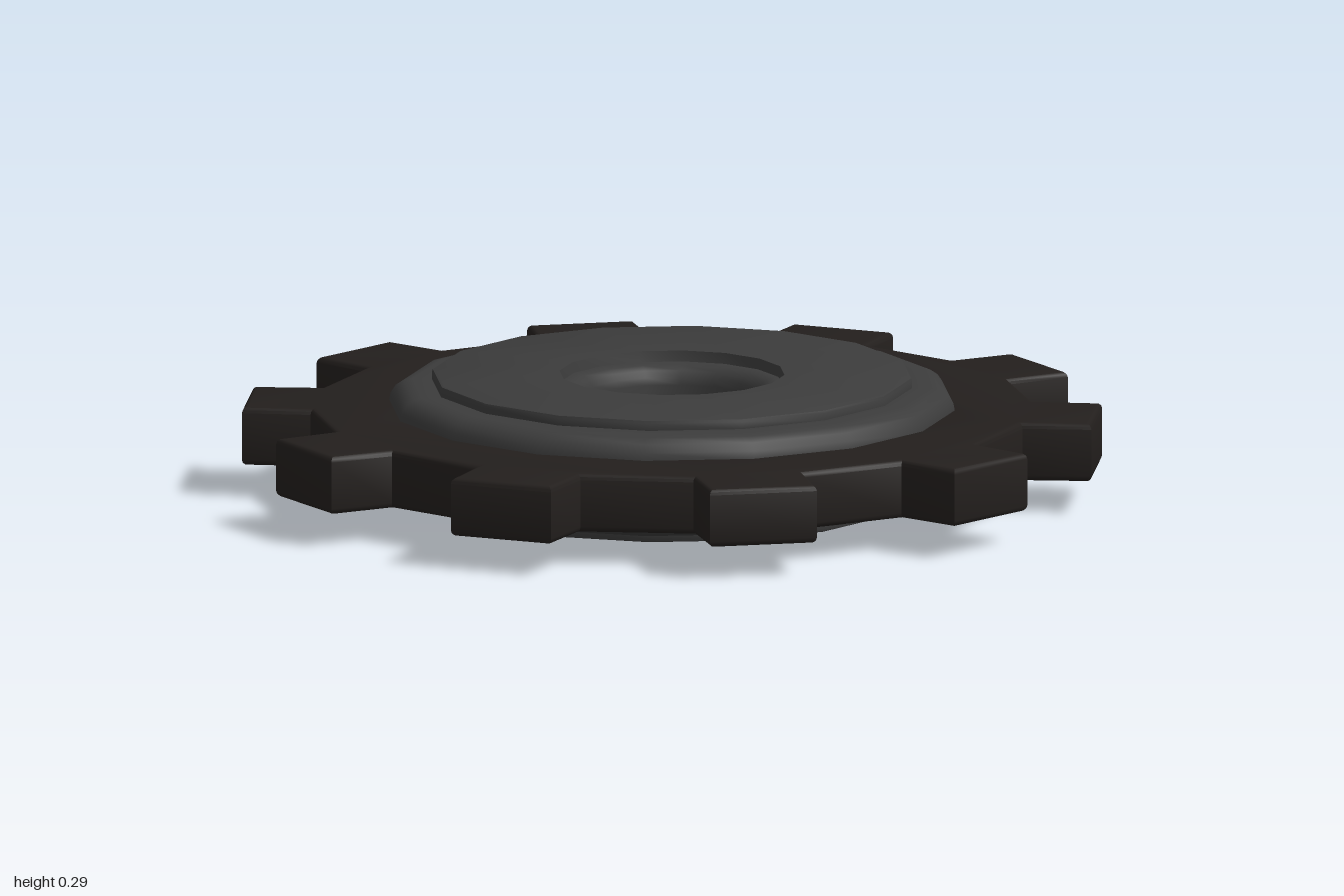
import * as THREE from 'three';
import { toCreasedNormals } from 'three/addons/utils/BufferGeometryUtils.js';

const MID = 0.145; // mid height, the wheel is symmetric above and below it
const SIDES = 16;

// Mirrors an upper half profile (radius, height above the middle) into a closed lathe
function mirroredLathe(half) {
  const lower = half.map(([r, h]) => [r, -h]).reverse();
  const loop = [...lower, ...half, lower[0]];
  const points = loop.map(([r, h]) => new THREE.Vector2(r, MID + h));
  return toCreasedNormals(new THREE.LatheGeometry(points, SIDES), 0.65);
}

// Quarter-round points from angle a to b (degrees)
function arc(cx, cy, rx, ry, a, b, steps = 4) {
  return Array.from({ length: steps + 1 }, (_, i) => {
    const t = THREE.MathUtils.degToRad(a + ((b - a) * i) / steps);
    return [cx + rx * Math.cos(t), cy + ry * Math.sin(t)];
  });
}

// Twenty-sided ring with a straight tooth on every other side
function toothedRing() {
  const teeth = 10, rootRadius = 0.84, tipDistance = 0.99, halfTip = 0.127;
  const step = Math.PI / teeth;
  const outline = [];
  for (let i = 0; i < teeth; i++) {
    const a = i * 2 * step, m = a + step / 2;
    const c = Math.cos(m), s = Math.sin(m);
    outline.push(
      new THREE.Vector2(rootRadius * Math.cos(a), rootRadius * Math.sin(a)),
      new THREE.Vector2(tipDistance * c + halfTip * s, tipDistance * s - halfTip * c),
      new THREE.Vector2(tipDistance * c - halfTip * s, tipDistance * s + halfTip * c),
      new THREE.Vector2(rootRadius * Math.cos(a + step), rootRadius * Math.sin(a + step))
    );
  }
  const shape = new THREE.Shape(outline);
  const hole = new THREE.Path();
  hole.absarc(0, 0, 0.56, 0, Math.PI * 2, true);
  shape.holes.push(hole);

  const bevel = 0.014, height = 0.138;
  const geometry = new THREE.ExtrudeGeometry(shape, {
    depth: height - 2 * bevel, curveSegments: SIDES,
    bevelSize: bevel, bevelOffset: -bevel, bevelThickness: bevel, bevelSegments: 3
  });
  geometry.translate(0, 0, bevel - height / 2);
  geometry.rotateX(-Math.PI / 2);
  geometry.translate(0, MID, 0);
  return toCreasedNormals(geometry, 0.65);
}

export function createModel() {
  const group = new THREE.Group();
  const rubber = new THREE.MeshStandardMaterial({ color: 0x231f1d });
  const metal = new THREE.MeshStandardMaterial({ color: 0x3c3c3c });

  const add = (name, geometry, material) => {
    const mesh = new THREE.Mesh(geometry, material);
    mesh.name = name;
    group.add(mesh);
  };

  add('toothedRing', toothedRing(), rubber);

  // Hub: rounded rim, raised face plate on both sides, rounded bore lip
  add('hub', mirroredLathe([
    ...arc(0.605, 0.065, 0.055, 0.055, 0, 90),
    [0.56, 0.12],
    ...arc(0.552, 0.137, 0.008, 0.008, 0, 90, 2),
    [0.262, 0.145],
    [0.258, 0.12],
    ...arc(0.25, 0.075, 0.045, 0.045, 90, 180)
  ]), metal);

  return group;
}
